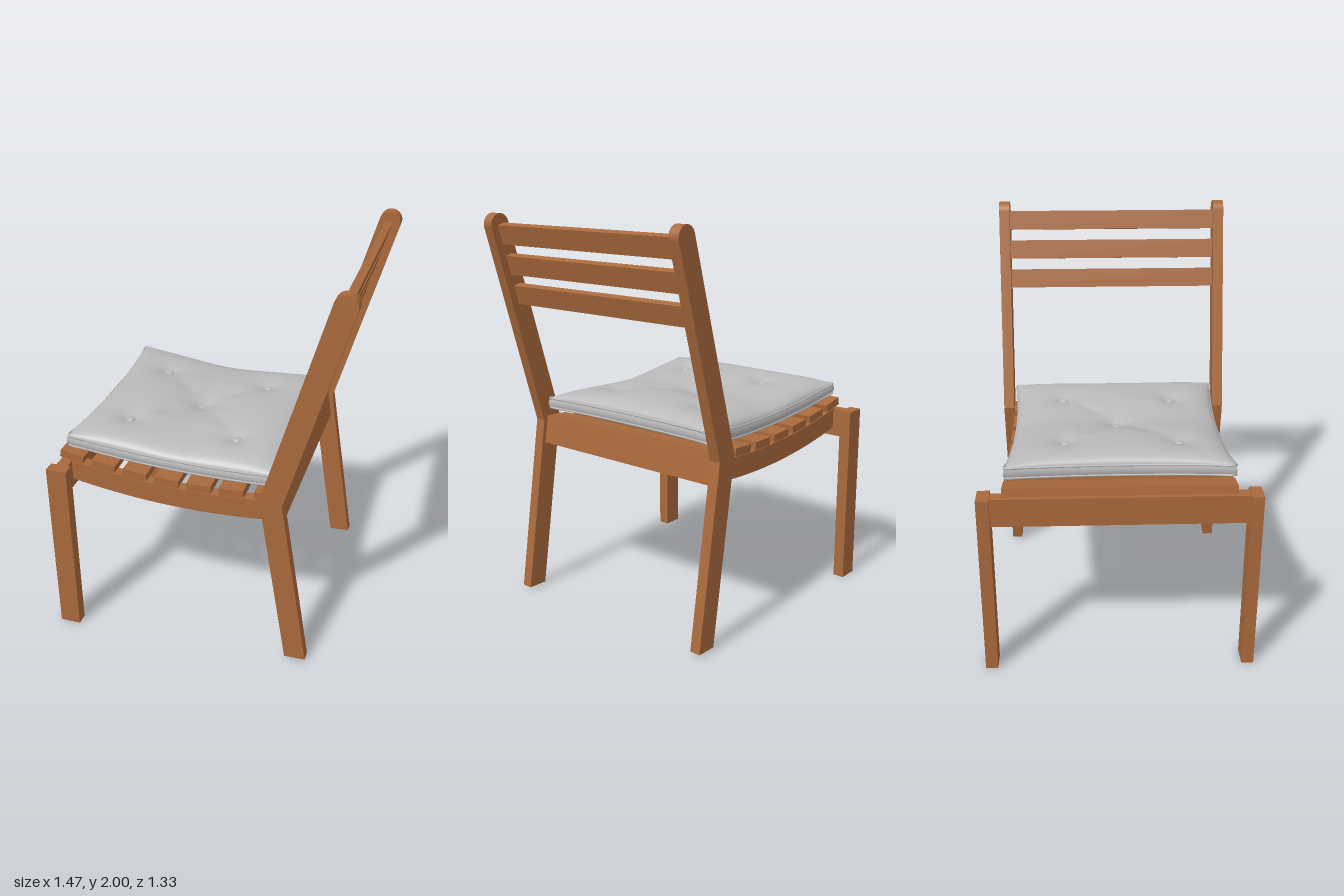
import * as THREE from 'three';

const wood = new THREE.MeshStandardMaterial({ color: 0xa9693c });
wood.name = 'wood';
const fabric = new THREE.MeshStandardMaterial({ color: 0xbababa });
fabric.name = 'greyFabric';

const sag = (x) => 0.15 * x * x; // shared curve of the seat

function add(group, name, geometry, material, x = 0, y = 0, z = 0, tilt = 0) {
  const mesh = new THREE.Mesh(geometry, material);
  mesh.name = name;
  mesh.position.set(x, y, z);
  mesh.rotation.z = tilt;
  group.add(mesh);
  return mesh;
}

const box = (w, h, d) => new THREE.BoxGeometry(w, h, d);

// Back leg and back post in one bent piece with a round top
function backLegGeometry() {
  const a = Math.atan2(1.03, 0.296);
  const s = new THREE.Shape();
  s.moveTo(0.474, 0.012);
  s.lineTo(0.58, 0.015);
  s.lineTo(0.438, 0.918);
  s.absarc(0.679, 1.946, 0.054, a - Math.PI / 2, a + Math.PI / 2, false);
  s.lineTo(0.327, 0.934);
  s.closePath();
  return new THREE.ExtrudeGeometry(s, { depth: 0.055, bevelEnabled: false, curveSegments: 16 });
}

// Curved rail carrying the slats
function sideRailGeometry() {
  const s = new THREE.Shape();
  const n = 16, x0 = -0.66, x1 = 0.38;
  const at = (i) => x0 + (x1 - x0) * i / n;
  s.moveTo(x0, 0.775 + sag(x0));
  for (let i = 1; i <= n; i++) s.lineTo(at(i), 0.775 + sag(at(i)));
  for (let i = n; i >= 0; i--) s.lineTo(at(i), 0.88 + sag(at(i)));
  s.closePath();
  return new THREE.ExtrudeGeometry(s, { depth: 0.06, bevelEnabled: false });
}

const buttons = [[-0.42, -0.25], [0.14, -0.27], [-0.43, 0.295], [0.13, 0.297], [-0.14, 0]];

// Cushion outline with slightly drawn-in sides; u and v run from -1 to 1
const outline = (u, v) => [
  -0.13 + 0.535 * u * (1 - 0.055 * (1 - v * v)),
  0.0025 + 0.5325 * v * (1 - 0.045 * (1 - u * u)),
];
const fullness = (u, v) => Math.sqrt(Math.max(0, (1 - u ** 4) * (1 - v ** 4)));

// Height of the tufted top over its seam
function tuftedHeight(x, z, full) {
  let h = 0.088 - 0.022 * Math.exp(-(((x + 0.14) / 0.16) ** 2));
  let dip = 0;
  buttons.forEach(([bx, bz], i) => {
    const r = Math.hypot(x - bx, z - bz);
    dip = Math.max(dip, 0.052 * Math.exp(-r / 0.085));
    if (i === 4) return;
    // soft crease from this button to the middle one
    const dx = bx + 0.14, dz = bz, len = Math.hypot(dx, dz);
    const t = ((x + 0.14) * dx + z * dz) / (len * len);
    const off = Math.abs((x + 0.14) * dz - z * dx) / len;
    if (t > 0 && t < 1) dip = Math.max(dip, 0.02 * Math.exp(-off / 0.07));
  });
  return (h - dip) * full;
}

function cushionGeometry() {
  const g = new THREE.BoxGeometry(2, 2, 2, 60, 4, 60);
  const p = g.attributes.position;
  for (let i = 0; i < p.count; i++) {
    const u = Math.sin(p.getX(i) * Math.PI / 2);
    const v = Math.sin(p.getZ(i) * Math.PI / 2);
    const t = p.getY(i);
    const [x, z] = outline(u, v);
    const full = fullness(u, v);
    let y = 0.985 + 0.025 * t + sag(x);
    if (t > 0.99) y += tuftedHeight(x, z, full);
    if (t < -0.99) y -= 0.034 * full;
    const bulge = 1 + 0.012 * (1 - t * t);
    p.setXYZ(i, -0.13 + (x + 0.13) * bulge, y, z * bulge);
  }
  g.computeVertexNormals();
  return g;
}

// Thin piping around the cushion edge at a given height
function pipingGeometry(y) {
  const corners = [[-1, -1], [1, -1], [1, 1], [-1, 1]];
  const pts = [];
  corners.forEach(([u, v], i) => {
    const [nu, nv] = corners[(i + 1) % 4];
    for (let k = 0; k < 12; k++) {
      const [x, z] = outline(u + (nu - u) * k / 12, v + (nv - v) * k / 12);
      pts.push(new THREE.Vector3(x, y + sag(x), z));
    }
  });
  return new THREE.TubeGeometry(new THREE.CatmullRomCurve3(pts, true), 144, 0.006, 6, true);
}

export function createModel() {
  const chair = new THREE.Group();
  chair.name = 'chair';

  // Legs and side rails, mirrored
  const legGeo = backLegGeometry(), railGeo = sideRailGeometry();
  for (const s of [1, -1]) {
    add(chair, 'frontLeg', box(0.105, 0.945, 0.06), wood, -0.6825, 0.4725, s * 0.635);
    add(chair, 'backLeg', legGeo, wood, 0, 0, s > 0 ? 0.55 : -0.605);
    add(chair, 'sideRail', railGeo, wood, 0, 0, s > 0 ? 0.49 : -0.55);
  }

  // Cross rails
  add(chair, 'frontRail', box(0.06, 0.145, 1.21), wood, -0.68, 0.868, 0);
  add(chair, 'backRail', box(0.06, 0.145, 1.1), wood, 0.395, 0.863, 0, 0.156);

  // Seat slats following the curve
  for (let i = 0; i < 7; i++) {
    const x = -0.65 + i * 0.1645;
    const w = i === 6 ? 0.1 : 0.123;
    add(chair, 'seatSlat', box(w, 0.04, 1.09), wood, x, 0.9 + sag(x), 0, Math.atan(0.3 * x));
  }

  // Backrest slats
  for (let i = 0; i < 3; i++) {
    const y = 1.602 + i * 0.15;
    add(chair, 'backSlat', box(0.038, 0.098, 1.1), wood, 0.381 + (y - 0.926) * 0.287, y, 0, -0.28);
  }

  // Tufted cushion
  const cushion = new THREE.Group();
  cushion.name = 'cushion';
  add(cushion, 'cushionBody', cushionGeometry(), fabric);
  add(cushion, 'upperPiping', pipingGeometry(1.01), fabric);
  add(cushion, 'lowerPiping', pipingGeometry(0.96), fabric);
  for (const [x, z] of buttons) {
    const y = 1.01 + sag(x) + tuftedHeight(x, z, 1);
    const button = add(cushion, 'button', new THREE.SphereGeometry(0.023, 20, 12), fabric, x, y + 0.006, z);
    button.scale.y = 0.4;
  }
  chair.add(cushion);
  return chair;
}
